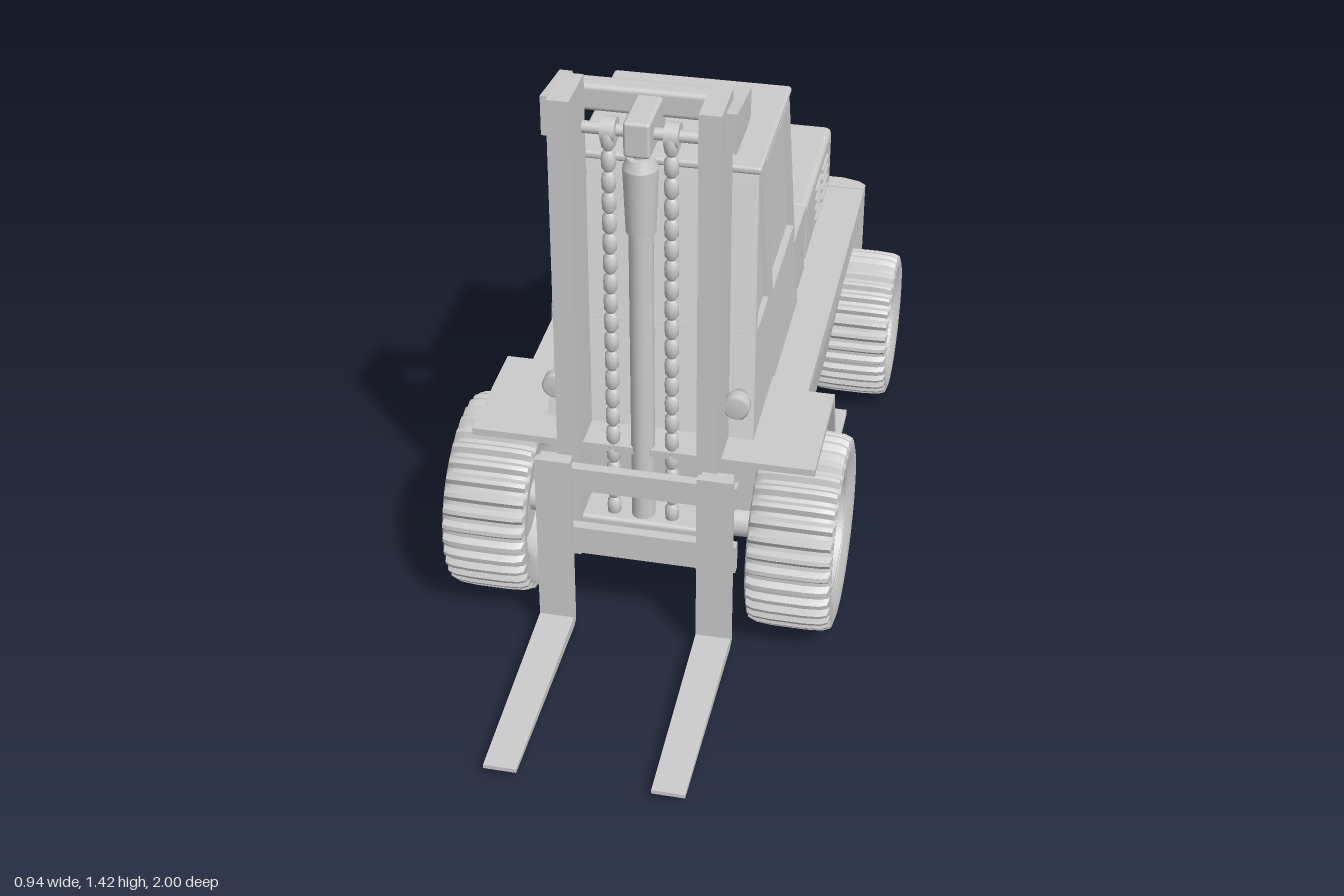
import * as THREE from 'three';
import { toCreasedNormals } from 'three/addons/utils/BufferGeometryUtils.js';
import { RoundedBoxGeometry } from 'three/addons/geometries/RoundedBoxGeometry.js';

const mat = new THREE.MeshStandardMaterial({ color: 0xcccccc, side: THREE.DoubleSide });
const V = (a) => a.map(([x, y]) => new THREE.Vector2(x, y));

export function createModel() {
  const model = new THREE.Group();

  const add = (name, geo, parent = model) => {
    const m = new THREE.Mesh(geo, mat);
    m.name = name;
    parent.add(m);
    return m;
  };
  // box given by its limits on each axis
  const box = (name, x0, x1, y0, y1, z0, z1, r = 0) => {
    const s = [x1 - x0, y1 - y0, z1 - z0];
    const g = r ? new RoundedBoxGeometry(...s, 2, r) : new THREE.BoxGeometry(...s);
    return add(name, g.translate((x0 + x1) / 2, (y0 + y1) / 2, (z0 + z1) / 2));
  };
  const cyl = (name, r0, r1, y0, y1, x, z) =>
    add(name, new THREE.CylinderGeometry(r1, r0, y1 - y0, 20).translate(x, (y0 + y1) / 2, z));
  const rodX = (name, r, x0, x1, y, z) =>
    add(name, new THREE.CylinderGeometry(r, r, x1 - x0, 16).rotateZ(Math.PI / 2).translate((x0 + x1) / 2, y, z));
  const plate = (pts, depth, holes = []) => {
    const s = new THREE.Shape(V(pts));
    holes.forEach((h) => s.holes.push(new THREE.Path(V(h))));
    return new THREE.ExtrudeGeometry(s, { depth, bevelEnabled: false });
  };
  // side profile of (z, y) points spread from x0 to x1
  const side = (pts, x0, x1, holes) => plate(pts, x1 - x0, holes).rotateY(-Math.PI / 2).translate(x1, 0, 0);
  const bend = (g, f) => {
    const p = g.attributes.position, v = new THREE.Vector3();
    for (let i = 0; i < p.count; i++) {
      f(v.fromBufferAttribute(p, i));
      p.setXYZ(i, v.x, v.y, v.z);
    }
    g.computeVertexNormals();
    return g;
  };

  // Wheels: lugged tyre and dished rim, turned about the axle
  const wheel = (name, R, lugs, x, y, z) => {
    const grp = new THREE.Group();
    grp.name = name;
    const k = R / 0.24;
    const tyre = V([[0.148, -0.075], [0.155, -0.088], [0.185, -0.1], [0.212, -0.102], [0.23, -0.097], [0.237, -0.08], [0.24, -0.04],
      [0.24, 0.04], [0.237, 0.08], [0.23, 0.097], [0.212, 0.102], [0.185, 0.1], [0.155, 0.088], [0.148, 0.075]]);
    tyre.forEach((p) => { p.x *= k; });
    const g = new THREE.LatheGeometry(tyre, lugs * 4);
    const p = g.attributes.position;
    for (let i = 0; i < p.count; i++) {
      const groove = Math.floor(i / tyre.length) % 4 > 1;
      if (groove && Math.hypot(p.getX(i), p.getZ(i)) > 0.22 * k) {
        p.setX(i, p.getX(i) * 0.945);
        p.setZ(i, p.getZ(i) * 0.945);
      }
    }
    g.deleteAttribute('normal');
    g.deleteAttribute('uv');
    add('tyre', toCreasedNormals(g, 0.6).rotateZ(-Math.PI / 2), grp);
    const rim = V([[0, -0.05], [0.13, -0.05], [0.15, -0.08], [0.157, -0.08], [0.157, 0.086], [0.143, 0.086], [0.135, 0.045],
      [0.11, 0.03], [0.066, 0.025], [0.064, 0.06], [0.052, 0.072], [0, 0.074]]);
    rim.forEach((q) => { q.x *= k; });
    add('rim', toCreasedNormals(new THREE.LatheGeometry(rim, 36), 0.5).rotateZ(-Math.PI / 2), grp);
    grp.position.set(x, y, z);
    if (x < 0) grp.rotation.y = Math.PI;
    model.add(grp);
  };
  for (const s of [1, -1]) {
    wheel('frontWheel', 0.24, 36, s * 0.3675, 0.245, 0.27);
    wheel('rearWheel', 0.2, 34, s * 0.3675, 0.21, -0.73);
  }
  rodX('frontAxle', 0.04, -0.3, 0.3, 0.245, 0.27);
  rodX('rearAxle', 0.02, -0.32, 0.32, 0.21, -0.73);
  box('rearAxleBeam', -0.15, 0.15, 0.17, 0.3, -0.79, -0.67, 0.02);

  // Body: deck with side panels that lean in towards the bottom
  const body = side([[0.39, 0.51], [-0.95, 0.51], [-0.95, 0.44], [-0.53, 0.44], [-0.47, 0.26], [0, 0.26], [0.085, 0.492], [0.39, 0.492]], -0.345, 0.345);
  add('body', bend(body, (v) => { if (v.y < 0.3) v.x *= 0.92; }));
  box('chassis', -0.25, 0.25, 0.23, 0.5, -0.48, 0.28);
  box('rearChassis', -0.25, 0.25, 0.31, 0.46, -0.95, -0.45);
  box('bellyPlate', -0.1, 0.1, 0.2, 0.24, 0.1, 0.36);
  for (const s of [1, -1]) {
    // Fender running down into a step
    const f = [[0.39, 0.51], [0.075, 0.51], [-0.015, 0.275], [-0.2, 0.275], [-0.2, 0.258], [-0.002, 0.258], [0.085, 0.492], [0.39, 0.492]];
    add('fenderAndStep', side(f, s > 0 ? 0.25 : -0.41, s > 0 ? 0.41 : -0.25));
  }

  // Counterweight and hitch plate
  const cw = plate([[-0.345, 0.94], [0.345, 0.94], [0.345, 0.965], [0.325, 0.983], [0.28, 0.996], [-0.28, 0.996], [-0.325, 0.983], [-0.345, 0.965]], 0.25);
  add('counterweight', cw.rotateX(-Math.PI / 2).translate(0, 0.262, 0));
  box('hitchPlate', -0.1, 0.1, 0.2, 0.31, -1, -0.985);

  // Engine hood with louvres, and the pedestal behind the cab
  box('hood', -0.245, 0.245, 0.515, 0.692, -0.96, -0.5, 0.018);
  box('hoodBase', -0.235, 0.235, 0.5, 0.56, -0.95, -0.48);
  box('pedestal', -0.245, 0.245, 0.5, 0.7, -0.49, -0.3);
  for (const s of [1, -1]) for (let c = 0; c < 2; c++) for (let r = 0; r < 4; r++) {
    const l = new THREE.CylinderGeometry(0.007, 0.007, 0.095, 8).rotateX(Math.PI / 2);
    add('louvre', l.translate(s * 0.245, 0.56 + r * 0.03, -0.7 - c * 0.115));
  }

  // Cab: inset core, pierced frames, roof
  const taper = (v) => { v.x *= 1 - 0.14 * (v.y - 0.51) / 0.6; };
  const outline = [[0.3, 0.51], [0.09, 1.11], [-0.32, 1.11], [-0.33, 0.51]];
  add('cabGlass', bend(side([[0.283, 0.51], [0.075, 1.105], [-0.307, 1.105], [-0.317, 0.51]], -0.236, 0.236), taper));
  const panes = [[[0.195, 0.745], [0.076, 1.085], [0.05, 1.085], [0.04, 0.745]], [[0.005, 0.745], [0.005, 1.09], [-0.3, 1.09], [-0.305, 0.745]]];
  const trim = [[0.02, 0.73], [0.02, 1.1], [-0.31, 1.1], [-0.318, 0.73]];
  for (const s of [1, -1]) {
    const at = (a, b) => (s > 0 ? [a, b] : [-b, -a]);
    add('cabSide', bend(side(outline, ...at(0.234, 0.25), panes), taper));
    add('doorWindowTrim', bend(side(trim, ...at(0.245, 0.255), [panes[1]]), taper));
    add('doorPanel', bend(side([[0.028, 0.51], [0.022, 0.73], [-0.318, 0.73], [-0.325, 0.51]], ...at(0.246, 0.254)), taper));
  }
  const front = plate([[-0.25, 0], [0.25, 0], [0.215, 0.636], [-0.215, 0.636]], 0.016,
    [[[-0.212, 0.25], [0.212, 0.25], [0.192, 0.6], [-0.192, 0.6]]]);
  add('windscreenFrame', front.translate(0, 0, -0.016).rotateX(-0.337).translate(0, 0.51, 0.3));
  const back = plate([[-0.25, 0.51], [0.25, 0.51], [0.215, 1.11], [-0.215, 1.11]], 0.016,
    [[[-0.212, 0.745], [0.212, 0.745], [0.192, 1.08], [-0.192, 1.08]]]);
  add('rearWindowFrame', back.translate(0, 0, -0.332));
  box('roof', -0.222, 0.222, 1.105, 1.125, -0.33, 0.1, 0.008);

  // Mast rails, top bracket and cross members
  for (const s of [1, -1]) {
    const b = (name, a, c, ...r) => box(name, Math.min(s * a, s * c), Math.max(s * a, s * c), ...r);
    b('mastRail', 0.14, 0.19, 0.21, 1.425, 0.3, 0.435);
    const arm = [[0.39, 1.41], [0.31, 1.4], [0.22, 1.39], [0.22, 1.325], [0.25, 1.315], [0.39, 1.315]];
    add('topBracketArm', side(arm, s > 0 ? 0.185 : -0.215, s > 0 ? 0.215 : -0.185));
    b('mastFoot', 0.13, 0.2, 0.22, 0.32, 0.24, 0.32);
    // Work lamp on a short stalk
    const lamp = V([[0, -0.03], [0.02, -0.025], [0.032, 0], [0.032, 0.025], [0.026, 0.03], [0, 0.03]]);
    add('workLamp', new THREE.LatheGeometry(lamp, 20).rotateX(Math.PI / 2).translate(s * 0.215, 0.628, 0.322));
    add('lampStalk', new THREE.TubeGeometry(new THREE.LineCurve3(new THREE.Vector3(s * 0.215, 0.62, 0.31), new THREE.Vector3(s * 0.22, 0.52, 0.26)), 1, 0.008, 8));
    // Lift chain as a string of rounded links
    const links = [[0, 0.3]];
    for (let i = 0; i < 20; i++) {
      const y = 0.3 + i * 0.052;
      links.push([0.009, y], [0.016, y + 0.01], [0.017, y + 0.026], [0.016, y + 0.042], [0.009, y + 0.051]);
    }
    links.push([0, 1.34]);
    add('liftChain', new THREE.LatheGeometry(V(links), 12).translate(s * 0.07, 0, 0.375));
    // Forks: upright shank and tapering tine
    const fork = [[0.46, 0.51], [0.48, 0.51], [0.482, 0.05], [1, 0.04], [1, 0.03], [0.48, 0.022], [0.462, 0.03]];
    const tine = side(fork, s > 0 ? 0.15 : -0.235, s > 0 ? 0.235 : -0.15);
    add('fork', bend(tine, (v) => { if (v.z > 0.9) v.x = s * 0.1925 + (v.x - s * 0.1925) * 0.9; }));
    b('forkHook', 0.155, 0.23, 0.42, 0.5, 0.43, 0.462);
  }
  box('topCrossbar', -0.2, 0.2, 1.322, 1.387, 0.22, 0.275, 0.012);
  box('lowerMastBar', -0.15, 0.15, 0.23, 0.31, 0.31, 0.41, 0.01);
  box('carriageUpperBar', -0.24, 0.24, 0.42, 0.482, 0.435, 0.46);
  box('carriageLowerBar', -0.24, 0.24, 0.235, 0.31, 0.435, 0.46);

  // Lift cylinder with its head and chain pulleys
  cyl('liftRod', 0.028, 0.028, 0.22, 1.1, 0, 0.37);
  cyl('liftCylinder', 0.034, 0.04, 1.09, 1.25, 0, 0.37);
  cyl('liftCylinderCap', 0.04, 0.03, 1.25, 1.275, 0, 0.37);
  cyl('liftPin', 0.016, 0.016, 1.27, 1.3, 0, 0.37);
  box('liftHead', -0.03, 0.03, 1.29, 1.375, 0.24, 0.41, 0.008);
  rodX('pulleyShaft', 0.014, -0.13, 0.13, 1.33, 0.36);
  for (const x of [-0.07, 0.07]) rodX('chainPulley', 0.03, x - 0.016, x + 0.016, 1.33, 0.36);

  return model;
}
